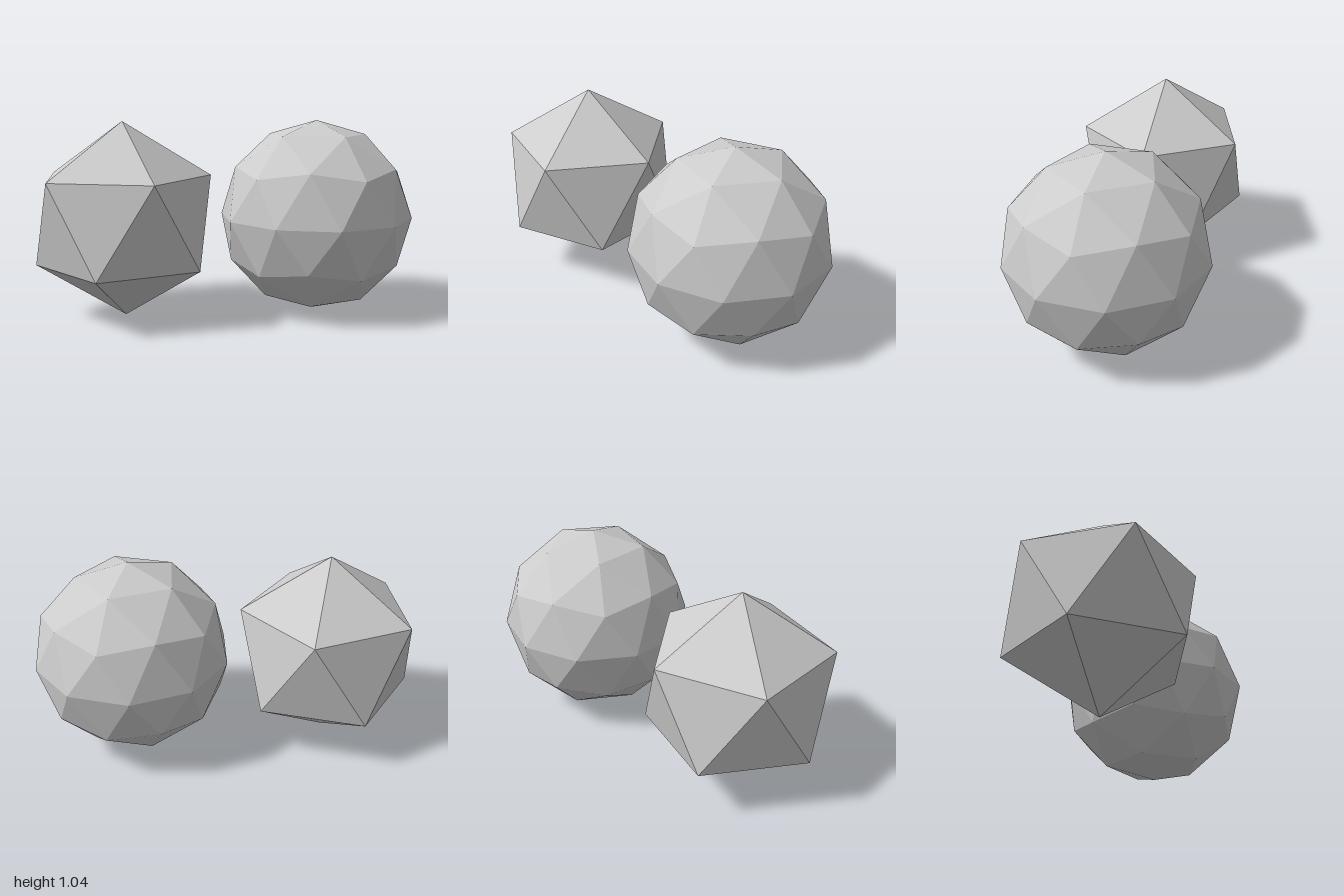
import * as THREE from 'three';

const RADIUS = 0.52;
// Tilt that puts one icosahedron corner at the top and a ring corner towards +x
const TILT = -Math.atan(2 / (1 + Math.sqrt(5)));

export function createModel() {
  const group = new THREE.Group();
  group.name = 'polyhedra';

  const grey = new THREE.MeshStandardMaterial({ color: 0xcccccc, flatShading: true });
  grey.name = 'light grey';

  // Both solids stand on a corner; the second is subdivided once
  const addSolid = (name, detail, x) => {
    const geometry = new THREE.IcosahedronGeometry(RADIUS, detail);
    geometry.rotateZ(TILT);
    const mesh = new THREE.Mesh(geometry, grey);
    mesh.name = name;
    mesh.position.set(x, RADIUS, 0);
    group.add(mesh);
  };

  addSolid('icosahedron', 0, -0.535);
  addSolid('geodesicSphere', 1, 0.505);

  return group;
}
